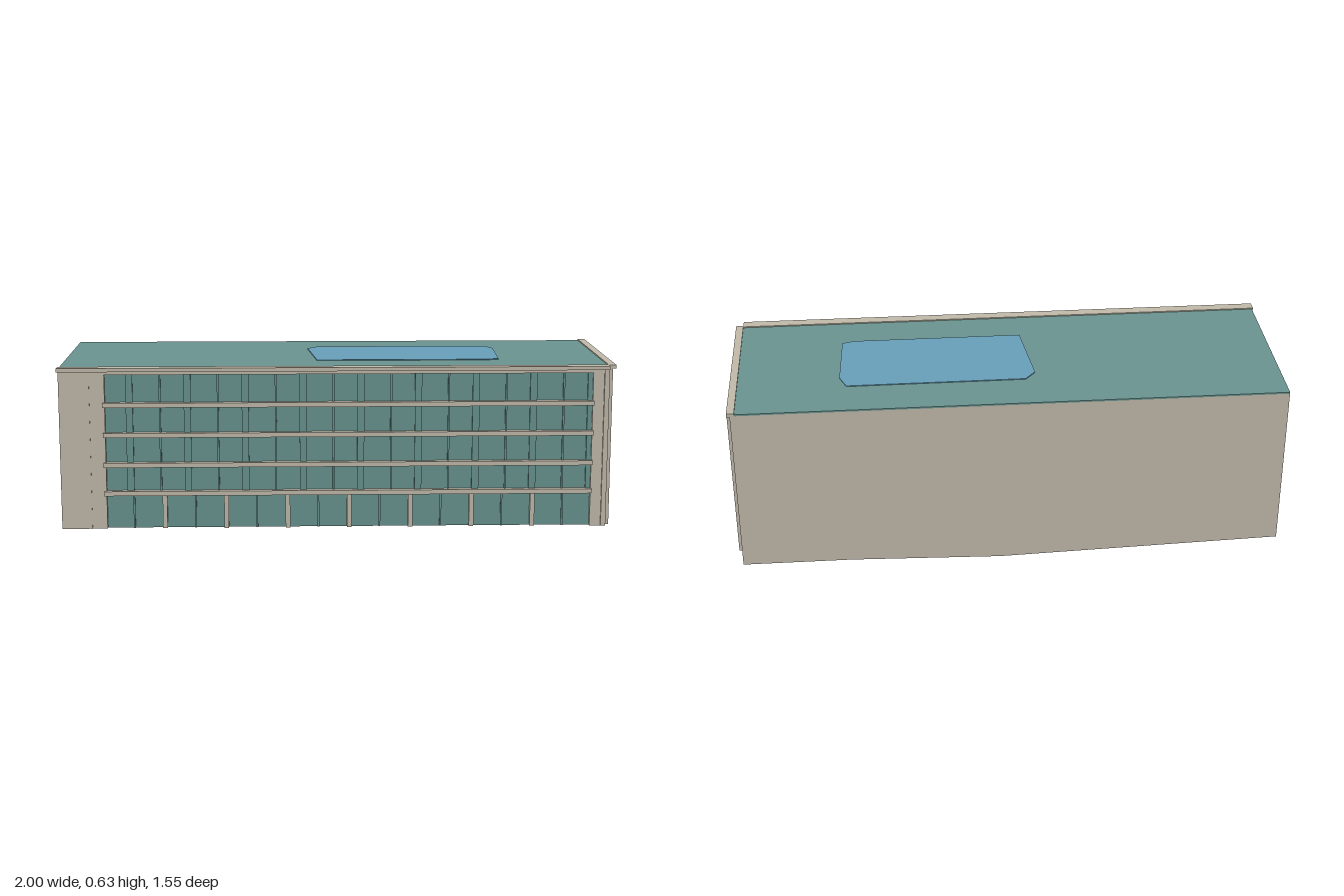
import * as THREE from 'three';

const mat = (name, color) => {
  const m = new THREE.MeshStandardMaterial({ color });
  m.name = name;
  return m;
};

export function createModel() {
  const stone = mat('stone', 0xc2bbab);
  const glass = mat('tealGlass', 0x6a9490);
  const blue = mat('bluePanel', 0x68a0ba);

  const model = new THREE.Group();
  const building = new THREE.Group();
  building.name = 'building';
  building.rotation.y = -0.536; // stands askew on its plot
  model.add(building);

  const add = (name, geo, material) => {
    const m = new THREE.Mesh(geo, material);
    m.name = name;
    building.add(m);
    return m;
  };
  // box given by its limits
  const box = (name, material, x0, x1, y0, y1, z0, z1) => {
    const g = new THREE.BoxGeometry(x1 - x0, y1 - y0, z1 - z0);
    g.translate((x0 + x1) / 2, (y0 + y1) / 2, (z0 + z1) / 2);
    return add(name, g, material);
  };

  const L = -0.957, R = 0.935, END = 0.95;
  const BACK = -0.338, CORE = 0.303, FRONT = 0.325;
  const TOP = 0.62, BASE = 0.065;

  // main block: the underside follows the ground along the back edge
  const stations = [[L, 0.03], [0.04, 0], [0.57, 0.015], [R, 0.015]];
  let core = new THREE.BoxGeometry(3, 1, 1, 3, 1, 1).toNonIndexed();
  const p = core.attributes.position;
  for (let i = 0; i < p.count; i++) {
    const [x, low] = stations[Math.round(p.getX(i) + 1.5)];
    const back = p.getZ(i) < 0;
    const y = p.getY(i) > 0 ? TOP : back ? low : BASE;
    p.setXYZ(i, x, y, back ? BACK : CORE);
  }
  core.computeVertexNormals();
  add('mainBlock', core, stone);

  // roof with skylight field
  box('roof', glass, L, R, TOP, 0.626, BACK, CORE);
  const field = new THREE.Shape([
    [-0.069, 0.157], [-0.099, -0.127], [-0.062, -0.173], [0.559, -0.175],
    [0.583, -0.114], [0.573, 0.142], [0.529, 0.156],
  ].map(([x, z]) => new THREE.Vector2(x, -z)));
  const fieldGeo = new THREE.ExtrudeGeometry(field, { depth: 0.003, bevelEnabled: false });
  fieldGeo.rotateX(-Math.PI / 2).translate(0, 0.626, 0);
  add('roofField', fieldGeo, blue);
  box('frontCornice', stone, -0.961, R, 0.617, 0.63, 0.3, 0.339);
  box('endCornice', stone, R, 0.961, 0.617, 0.63, BACK, 0.307);

  // front facade: corner panels, glazing and floor bands
  const W0 = -0.8, W1 = 0.88;
  box('leftPanel', stone, L, W0, BASE, TOP, CORE, FRONT);
  box('leftPanelJoint', stone, -0.856, -0.852, BASE, TOP, FRONT, 0.327);
  box('rightPanel', stone, W1, R, BASE, TOP, CORE, FRONT);
  box('rightCornerPost', stone, 0.918, R, BASE, TOP, FRONT, 0.332);
  box('frontGlass', glass, W0, W1, BASE, 0.605, CORE, 0.31);
  box('frontHeader', stone, W0, W1, 0.605, TOP, CORE, FRONT);
  for (const y of [0.19, 0.29, 0.395, 0.5]) {
    box('floorBand', stone, W0 - 0.008, W1 + 0.004, y - 0.008, y + 0.008, CORE, 0.332);
  }

  // upper mullions: a wide one and a thin one in each bay
  for (let i = -2; i <= 6; i++) {
    const x = -0.319 + i * 0.199;
    if (x > W0 && x < W1) box('wideMullion', glass, x - 0.012, x + 0.012, 0.198, 0.605, 0.31, 0.318);
    const t = x + 0.105;
    if (t > W0 && t < W1) box('thinMullion', glass, t - 0.003, t + 0.003, 0.198, 0.605, 0.31, 0.318);
  }
  // ground floor posts and mullions
  for (let i = 0; i < 8; i++) {
    const x = -0.6 + i * 0.213;
    if (x < W1) box('groundPost', stone, x - 0.008, x + 0.008, BASE, 0.185, CORE, FRONT);
    const t = x - 0.107;
    if (t < W1) box('groundMullion', glass, t - 0.003, t + 0.003, BASE, 0.185, 0.31, 0.316);
  }

  // right end wall with openings, drawn in (-z, y)
  const v2 = (z, y) => new THREE.Vector2(-z, y);
  const wall = new THREE.Shape([v2(0.307, BASE), v2(BACK, 0.015), v2(BACK, TOP), v2(0.307, TOP)]);
  const hole = (z0, z1, y0, y1) =>
    wall.holes.push(new THREE.Path([v2(z0, y0), v2(z0, y1), v2(z1, y1), v2(z1, y0)]));
  const posts = [0.02, -0.092, -0.203, -0.314];
  const rows = [[0.072, 0.16], [0.185, 0.267], [0.29, 0.372], [0.395, 0.477], [0.5, 0.588]];
  hole(0.062, 0.117, 0.072, 0.615);
  for (let i = 0; i < 3; i++) {
    for (const [y0, y1] of rows) hole(posts[i + 1] + 0.014, posts[i] - 0.014, y0, y1);
  }
  const wallGeo = new THREE.ExtrudeGeometry(wall, { depth: END - R, bevelEnabled: false });
  wallGeo.rotateY(Math.PI / 2).translate(R, 0, 0);
  add('endWall', wallGeo, stone);
  box('endStripGlass', glass, R, R + 0.003, 0.07, 0.617, 0.06, 0.119);
  box('endWindowGlass', glass, R, R + 0.003, 0.07, 0.59, posts[3], posts[0]);
  for (const z of posts) box('endPost', stone, END, 0.961, BASE, TOP, z - 0.009, z + 0.009);
  for (let i = 0; i < 3; i++) {
    for (const [y0, y1] of rows) {
      const z = posts[i + 1] + 0.034;
      box('endMullion', glass, R, R + 0.009, y0, y1, z - 0.003, z + 0.003);
    }
  }
  box('endRail', stone, END - 0.004, END + 0.003, 0.172, 0.178, 0.04, 0.117);

  return model;
}
